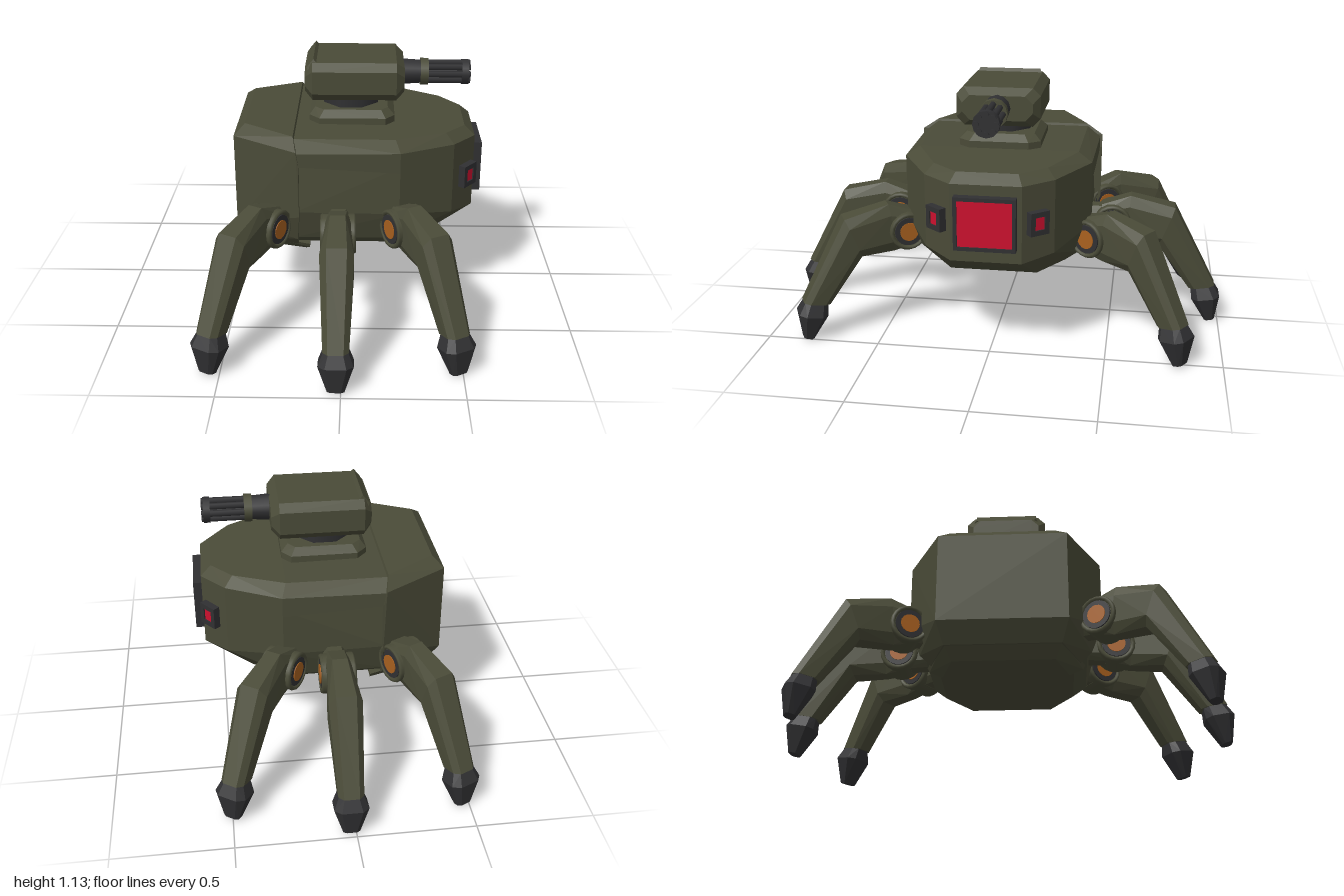
import * as THREE from 'three';
import { ConvexGeometry } from 'three/addons/geometries/ConvexGeometry.js';

const mat = (name, color) => {
  const m = new THREE.MeshStandardMaterial({ color });
  m.name = name;
  return m;
};

export function createModel() {
  const olive = mat('olive armour', 0x4a4b38);
  const dark = mat('dark metal', 0x303032);
  const red = mat('red glass', 0xcc102e);
  const orange = mat('orange hub', 0xa8601f);
  const root = new THREE.Group();

  const add = (parent, name, geo, m, x = 0, y = 0, z = 0) => {
    const mesh = new THREE.Mesh(geo, m);
    mesh.name = name;
    mesh.position.set(x, y, z);
    parent.add(mesh);
    return mesh;
  };
  // Convex solid from half outlines [x, y, z], mirrored across z
  const hull = (pts) => new ConvexGeometry(pts.flatMap(([x, y, z]) => [
    new THREE.Vector3(x, y, z), new THREE.Vector3(x, y, -z)]));
  // Cylinder lying along x
  const rod = (r1, r2, len, n) => new THREE.CylinderGeometry(r2, r1, len, n).rotateZ(-Math.PI / 2);

  // Front hull: overhanging upper deck and tucked lower body
  add(root, 'upperHull', hull([
    [-0.21, 0.845, 0.36], [0.22, 0.84, 0.35], [0.44, 0.83, 0.24], [0.53, 0.825, 0.13],
    [-0.21, 0.80, 0.42], [0.24, 0.80, 0.41], [0.475, 0.79, 0.275], [0.575, 0.785, 0.15],
    [-0.21, 0.74, 0.42], [0.24, 0.71, 0.41], [0.475, 0.70, 0.275], [0.575, 0.70, 0.15],
  ]), olive);
  add(root, 'lowerHull', hull([
    [-0.21, 0.75, 0.385], [0.24, 0.74, 0.409], [0.475, 0.72, 0.275], [0.575, 0.72, 0.15],
    [-0.21, 0.52, 0.40], [0.24, 0.52, 0.409], [0.475, 0.47, 0.275], [0.575, 0.45, 0.15],
    [-0.21, 0.38, 0.36], [0.22, 0.38, 0.36], [0.43, 0.41, 0.24], [0.52, 0.41, 0.14],
    [-0.21, 0.33, 0.30], [0.20, 0.33, 0.30], [0.37, 0.33, 0.19],
  ]), olive);
  // Rear shell, slightly higher and wider than the front
  add(root, 'rearShell', hull([
    [-0.43, 0.865, 0.23], [-0.215, 0.855, 0.36],
    [-0.475, 0.825, 0.28], [-0.20, 0.81, 0.43], [-0.19, 0.75, 0.43],
    [-0.475, 0.42, 0.28], [-0.19, 0.51, 0.43], [-0.20, 0.38, 0.38],
    [-0.42, 0.33, 0.25], [-0.20, 0.33, 0.33],
  ]), olive);
  add(root, 'rearSkirt', hull([
    [-0.42, 0.34, 0.25], [-0.15, 0.34, 0.35], [-0.15, 0.32, 0.34],
    [-0.36, 0.28, 0.22], [-0.17, 0.285, 0.28],
  ]), olive);

  // Framed window facing local +x
  const windowPanel = (name, w, h, depth, rim, x, y, z, turn) => {
    const g = new THREE.Group();
    g.name = name;
    g.position.set(x, y, z);
    g.rotation.y = turn;
    root.add(g);
    add(g, 'backing', new THREE.BoxGeometry(depth - 0.012, h, w), dark, -0.006);
    add(g, 'glass', new THREE.BoxGeometry(0.006, h - 2 * rim, w - 2 * rim), red, depth / 2 - 0.009);
    for (const s of [-1, 1]) {
      add(g, 'frameSide', new THREE.BoxGeometry(depth, h, rim), dark, 0, 0, s * (w - rim) / 2);
      add(g, 'frameBar', new THREE.BoxGeometry(depth, rim, w), dark, 0, s * (h - rim) / 2, 0);
    }
  };
  windowPanel('frontScreen', 0.26, 0.23, 0.05, 0.016, 0.587, 0.625, 0, 0);
  for (const s of [-1, 1])
    windowPanel('sideSensor', 0.09, 0.1, 0.045, 0.022, 0.54, 0.625, s * 0.21, -s * 0.69);

  // Turret pedestal, neck and head
  add(root, 'turretBase', hull([
    [-0.155, 0.83, 0.13], [-0.11, 0.83, 0.18], [0.18, 0.83, 0.18], [0.22, 0.83, 0.13],
    [-0.155, 0.87, 0.13], [-0.11, 0.87, 0.18], [0.18, 0.87, 0.18], [0.22, 0.87, 0.13],
    [-0.13, 0.9, 0.11], [-0.09, 0.9, 0.15], [0.16, 0.9, 0.15], [0.19, 0.9, 0.11],
  ]), olive);
  add(root, 'turretNeck', new THREE.CylinderGeometry(0.13, 0.13, 0.06, 8).rotateY(Math.PI / 8), dark, 0.027, 0.92);
  const headRing = (x, in1) => [
    [x, 1.113 - in1, 0.15 - in1], [x, 1.08 - in1, 0.183 - in1],
    [x, 0.98 + in1, 0.183 - in1], [x, 0.945 + in1, 0.15 - in1]];
  add(root, 'turretHead', hull([
    ...headRing(-0.173, 0.03), ...headRing(-0.14, 0), ...headRing(0.225, 0), ...headRing(0.26, 0.03),
  ]), olive);
  add(root, 'turretRearRidge', hull([
    [-0.135, 1.127, 0.14], [-0.165, 1.09, 0.14], [-0.115, 1.105, 0.15], [-0.16, 1.08, 0.15],
  ]), olive);

  // Rotary gun
  const gun = new THREE.Group();
  gun.name = 'rotaryGun';
  gun.position.set(0, 1.03, 0);
  root.add(gun);
  add(gun, 'gunMount', rod(0.058, 0.052, 0.09, 12), dark, 0.295);
  add(gun, 'rearClamp', rod(0.061, 0.061, 0.035, 12), olive, 0.352);
  add(gun, 'core', rod(0.03, 0.03, 0.2, 8), dark, 0.44);
  add(gun, 'muzzleClamp', rod(0.057, 0.057, 0.03, 12), dark, 0.532);
  for (let i = 0; i < 8; i++) {
    const a = (i / 8) * Math.PI * 2;
    add(gun, 'barrel', rod(0.014, 0.014, 0.2, 6), dark, 0.455, Math.cos(a) * 0.041, Math.sin(a) * 0.041);
  }

  // Leg segment: bevelled sections [topR, topY, bottomR, bottomY, halfWidth] along local +z
  const segment = (...sections) => {
    const pts = [];
    for (const [tr, ty, br, by, w] of sections)
      for (const [t, k] of [[0, 0.6], [0.22, 1], [0.78, 1], [1, 0.6]])
        for (const s of [-1, 1])
          pts.push(new THREE.Vector3(s * w * k, ty + (by - ty) * t, tr + (br - tr) * t));
    return new ConvexGeometry(pts);
  };
  const shoulder = [0.08, 0.595, 0.06, 0.375, 0.053];
  const knee = [0.28, 0.55, 0.21, 0.37, 0.07];
  const ankle = [0.475, 0.18, 0.36, 0.16, 0.053];
  const legParts = [
    ['hipLink', segment([-0.18, 0.54, -0.18, 0.41, 0.05], [0, 0.54, 0, 0.4, 0.05]), olive],
    ['upperLeg', segment([-0.05, 0.55, -0.05, 0.4, 0.06], shoulder), olive],
    ['kneeHousing', segment(shoulder, knee), olive],
    ['lowerLeg', segment(knee, ankle), olive],
    ['foot', segment([0.47, 0.18, 0.37, 0.165, 0.05], [0.5, 0.13, 0.375, 0.11, 0.072],
      [0.485, 0.01, 0.44, 0, 0.035]), dark],
  ];
  // Each leg: outer foot point x, z and outward direction x, z
  const legs = [
    ['rearLeftLeg', -0.57, 0.87, -0.48, 0.88], ['rearRightLeg', -0.49, -0.89, -0.42, -0.91],
    ['middleLeftLeg', -0.02, 0.995, 0, 1], ['middleRightLeg', 0.02, -1, 0, -1],
    ['frontLeftLeg', 0.5, 0.86, 0.48, 0.88], ['frontRightLeg', 0.52, -0.85, 0.55, -0.835],
  ];
  for (const [name, x, z, dx, dz] of legs) {
    const leg = new THREE.Group();
    leg.name = name;
    leg.position.set(x - dx * 0.5, 0, z - dz * 0.5);
    leg.rotation.y = Math.atan2(dx, dz);
    root.add(leg);
    for (const [part, geo, m] of legParts) add(leg, part, geo, m);
    // Round hip joint with a hub on both sides
    add(leg, 'hipJoint', rod(0.085, 0.085, 0.13, 20), olive, 0, 0.47);
    for (const s of [-1, 1]) {
      add(leg, 'hipRim', new THREE.TorusGeometry(0.076, 0.01, 6, 20).rotateY(Math.PI / 2), olive, s * 0.066, 0.47);
      add(leg, 'hipRing', rod(0.064, 0.064, 0.012, 20), dark, s * 0.066, 0.47);
      add(leg, 'hipHub', rod(0.042, 0.042, 0.009, 16), orange, s * 0.071, 0.47);
    }
  }
  return root;
}
